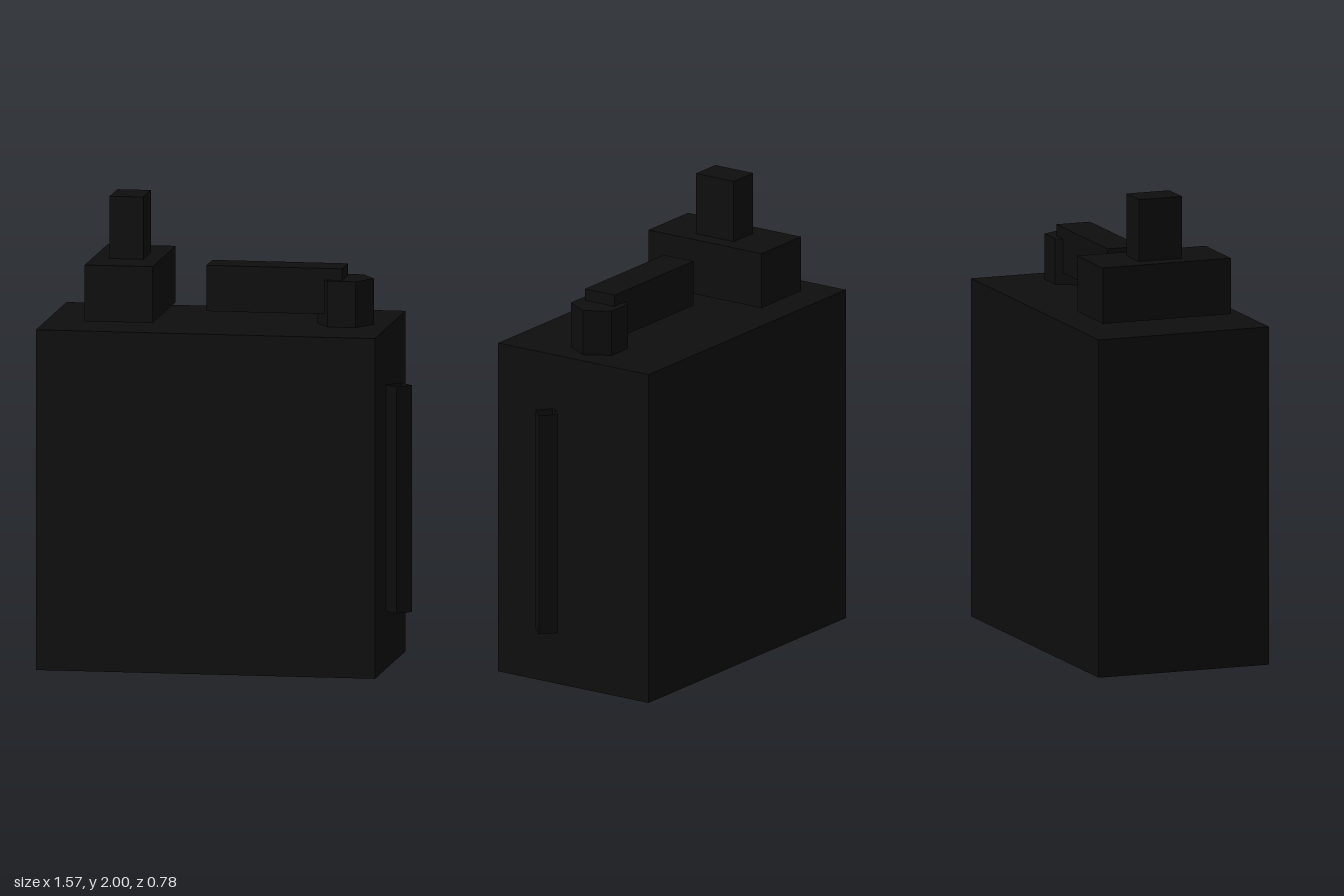
import * as THREE from 'three';

export function createModel() {
  const model = new THREE.Group();
  const black = new THREE.MeshStandardMaterial({ color: 0x0d0d0d, flatShading: true });
  black.name = 'black';
  // the side rod is an open tube
  const openBlack = new THREE.MeshStandardMaterial({ color: 0x0d0d0d, flatShading: true, side: THREE.DoubleSide });
  openBlack.name = 'black open';

  function add(name, geometry, x, y, z, material = black) {
    const mesh = new THREE.Mesh(geometry, material);
    mesh.name = name;
    mesh.position.set(x, y, z);
    model.add(mesh);
  }
  // box given by its extents in x and y and its half depth
  function box(name, x0, x1, y0, y1, halfDepth) {
    add(name, new THREE.BoxGeometry(x1 - x0, y1 - y0, 2 * halfDepth), (x0 + x1) / 2, (y0 + y1) / 2, 0);
  }
  // upright prism with one corner pointing along +x
  const prism = (radius, height, sides, open) =>
    new THREE.CylinderGeometry(radius, radius, height, sides, 1, open, Math.PI / 2);

  box('body', -0.787, 0.675, 0, 1.463, 0.39);
  // nozzle block hovers just above the body
  box('nozzleBase', -0.593, -0.3, 1.49, 1.732, 0.293);
  box('nozzle', -0.518, -0.373, 1.732, 2, 0.098);
  // lever on its six-sided post
  box('lever', -0.105, 0.48, 1.513, 1.71, 0.077);
  add('leverPost', prism(0.122, 0.197, 6, false), 0.482, 1.5615, 0);
  // four-sided rod along the side
  add('sideRod', prism(0.0585, 0.975, 4, true), 0.7275, 0.734, 0.101, openBlack);

  return model;
}
